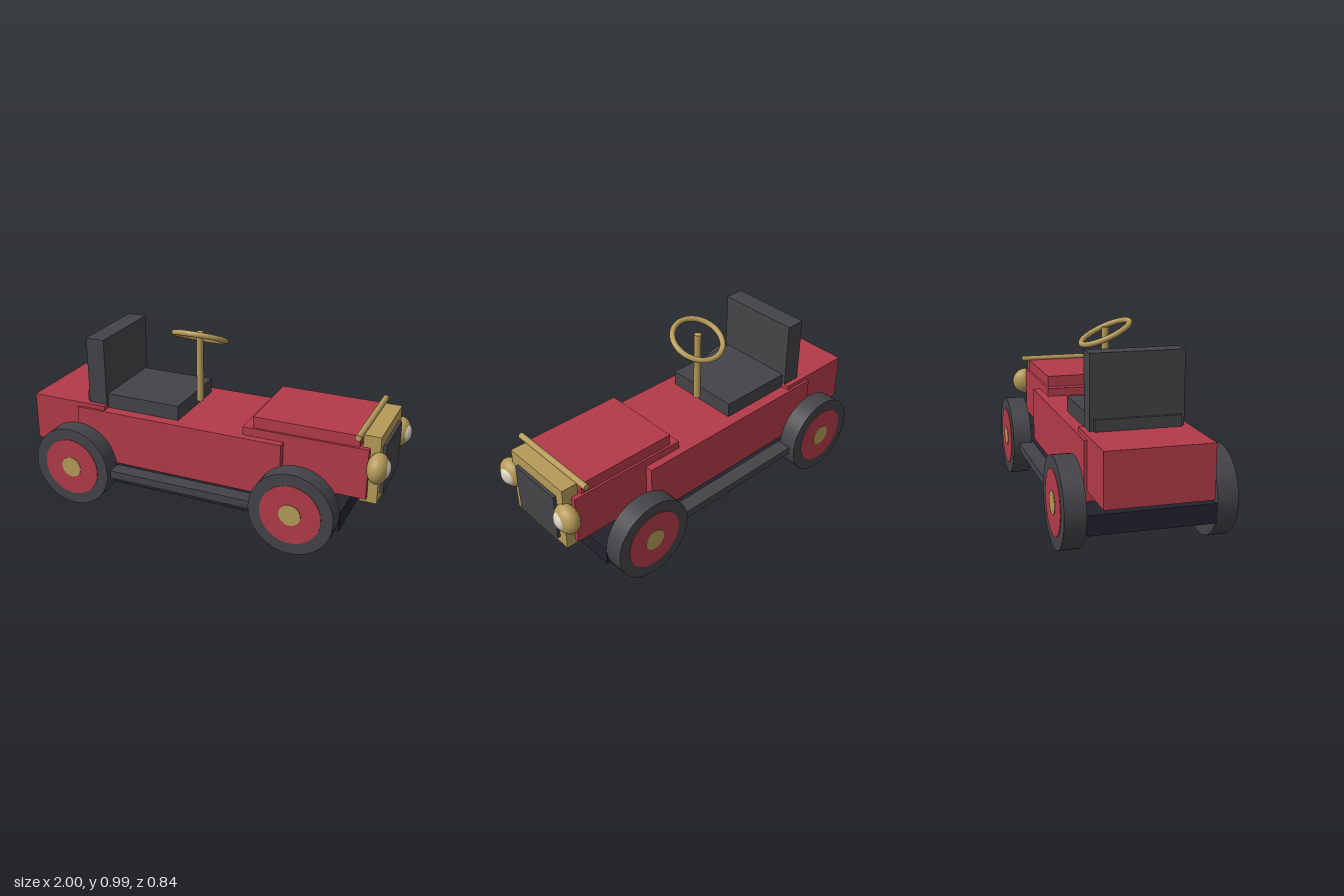
import * as THREE from 'three';

export function createModel() {
  const car = new THREE.Group();
  car.name = 'car';
  const paint = (name, color) => {
    const m = new THREE.MeshStandardMaterial({ color });
    m.name = name;
    return m;
  };
  const red = paint('red paint', 0xb23a48);
  const charcoal = paint('charcoal', 0x444448);
  const navy = paint('dark navy', 0x22222e);
  const brass = paint('brass', 0xb59a58);
  const glass = paint('lamp glass', 0xd8d0c0);

  const add = (name, geometry, material, x, y, z, parent = car) => {
    const mesh = new THREE.Mesh(geometry, material);
    mesh.name = name;
    mesh.position.set(x, y, z);
    parent.add(mesh);
    return mesh;
  };
  // Box from x and y ranges, centred on z unless a z range is given
  const box = (name, material, x0, x1, y0, y1, z1, z0 = -z1) =>
    add(name, new THREE.BoxGeometry(x1 - x0, y1 - y0, z1 - z0), material,
      (x0 + x1) / 2, (y0 + y1) / 2, (z0 + z1) / 2);

  // Chassis and body
  box('chassis', navy, -0.905, 0.785, 0.125, 0.222, 0.31);
  box('middleBody', red, -0.72, 0.455, 0.222, 0.516, 0.274);
  box('rearBody', red, -1, -0.56, 0.275, 0.54, 0.26);
  box('hood', red, 0.235, 0.89, 0.29, 0.56, 0.233);
  box('hoodTop', red, 0.285, 0.84, 0.56, 0.62, 0.221);

  // Seat
  box('seat', charcoal, -0.685, -0.14, 0.5, 0.597, 0.213);
  box('seatBack', charcoal, -0.665, -0.56, 0.52, 0.906, 0.232);

  // Radiator, grille and the bar above them
  box('radiator', brass, 0.852, 0.94, 0.264, 0.625, 0.208);
  box('grille', charcoal, 0.935, 0.957, 0.303, 0.564, 0.156);
  add('frontBar', new THREE.CylinderGeometry(0.016, 0.016, 0.534, 20), brass, 0.84, 0.629, 0)
    .rotation.x = Math.PI / 2;

  // Steering
  add('steeringColumn', new THREE.CylinderGeometry(0.019, 0.019, 0.39, 20), brass, -0.11, 0.75, 0);
  add('steeringWheel', new THREE.TorusGeometry(0.137, 0.015, 16, 48), brass, -0.11, 0.916, 0)
    .rotation.x = 1.14;

  for (const side of [1, -1]) {
    const edges = [side * 0.3, side * 0.382].sort((a, b) => a - b);
    box('runningBoard', charcoal, -0.69, 0.563, 0.185, 0.228, edges[1], edges[0]);

    // Headlamps
    add('headlamp', new THREE.SphereGeometry(0.078, 32, 24), brass, 0.938, 0.471, side * 0.229)
      .scale.x = 0.7;
    add('headlampLens', new THREE.SphereGeometry(0.055, 32, 24), glass, 0.958, 0.471, side * 0.222)
      .scale.x = 0.76;

    // Wheels: tyre, painted disc and hub
    for (const x of [-0.69, 0.563]) {
      const wheel = new THREE.Group();
      wheel.name = 'wheel';
      wheel.position.set(x, 0.222, side * 0.3625);
      wheel.rotation.x = Math.PI / 2;
      car.add(wheel);
      const disc = (name, r, width, m) =>
        add(name, new THREE.CylinderGeometry(r, r, width, 48), m, 0, 0, 0, wheel);
      disc('tyre', 0.222, 0.103, charcoal);
      disc('wheelDisc', 0.16, 0.109, red);
      disc('wheelHub', 0.057, 0.116, brass);
    }
  }
  return car;
}
